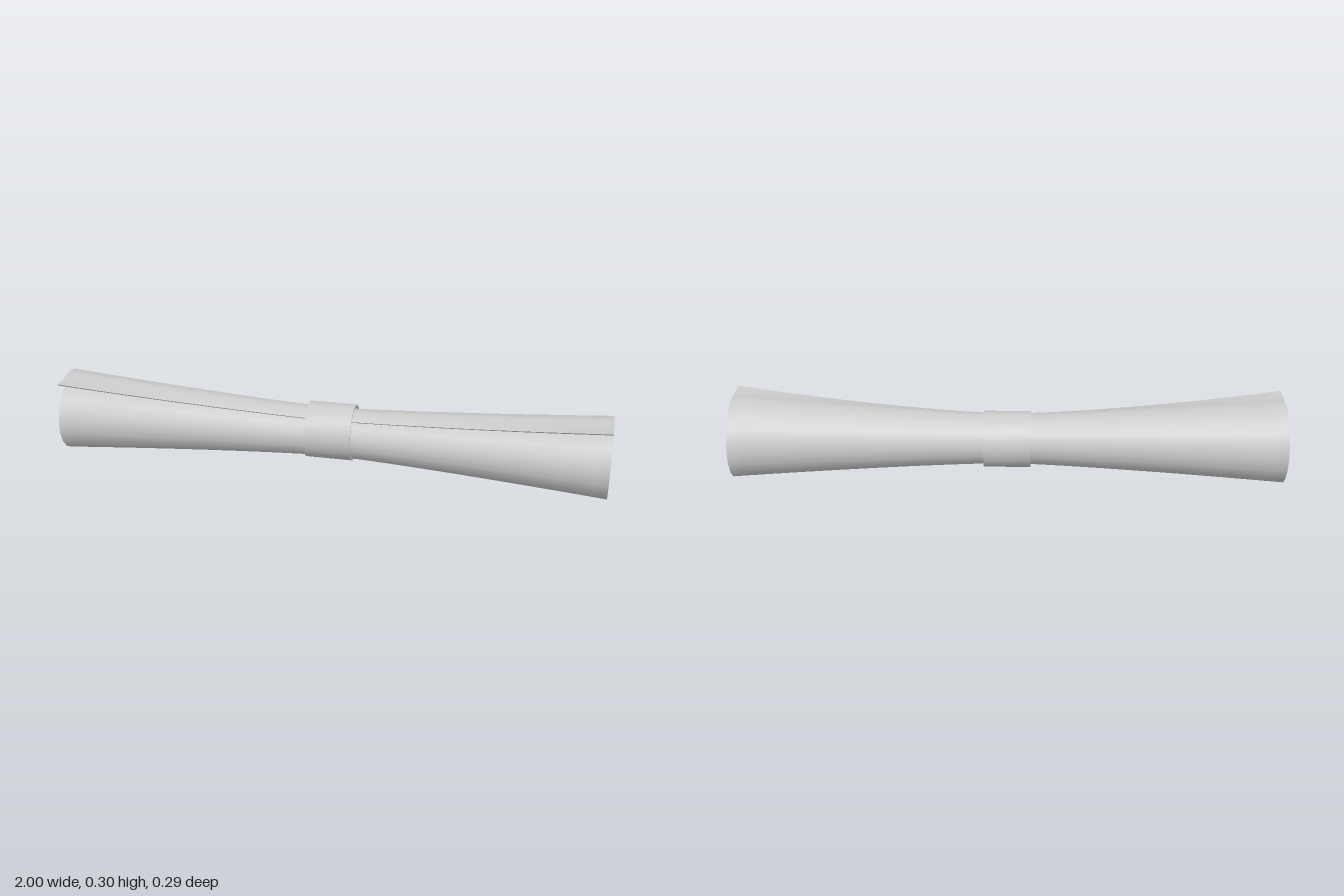
import * as THREE from 'three';
import { toCreasedNormals } from 'three/addons/utils/BufferGeometryUtils.js';

const AXIS_Y = 0.15;          // height of the roll axis
const THICK = 0.007;          // sheet thickness at the ends
const TIP = 54, CORE = 1600;  // spiral angles of the free edge and the core, degrees

// Outer radius of the spiral; the free edge curls outward by the flare amount
function spiralRadius(a, flare) {
  const r = Math.min(0.157, 0.152 - 0.036 * (a - 180) / 360);
  const lift = a < 80 ? 0.035 * ((80 - a) / 26) ** 2 : 0;
  return r + lift * flare;
}

// Angles get coarser toward the core
function spiralAngles() {
  const angles = [];
  for (let a = TIP; a < CORE;) {
    angles.push(a);
    a += a < 90 ? 9 : Math.min(34, 18 * Math.sqrt(0.152 / spiralRadius(a, 0)));
  }
  angles.push(CORE);
  return angles;
}

// Spiral sheet swept along x and pinched at the middle
function rolledSheet() {
  const angles = spiralAngles(), n = angles.length, loop = 2 * n, steps = 40;
  const pos = [], idx = [];
  const quad = (a, b, c, d) => idx.push(a, b, c, a, c, d);

  for (let i = 0; i <= steps; i++) {
    const x = -1 + 2 * i / steps;
    const f = Math.abs(x) ** 1.3, s = 0.6 + 0.4 * f;
    const add = (a, inset) => {
      const t = THREE.MathUtils.degToRad(a), r = spiralRadius(a, f) - inset;
      pos.push(x, AXIS_Y + s * (r * Math.sin(t) - 0.008), s * (0.008 + r * Math.cos(t)));
    };
    for (let j = 0; j < n; j++) add(angles[j], 0);
    for (let j = n - 1; j >= 0; j--) add(angles[j], THICK);
  }
  // Both faces and the two long edges
  for (let i = 0; i < steps; i++) {
    for (let j = 0; j < loop; j++) {
      const k = (j + 1) % loop, p = i * loop, q = p + loop;
      quad(p + j, q + j, q + k, p + k);
    }
  }
  // End strips
  const e = steps * loop;
  for (let j = 0; j < n - 1; j++) {
    const inner = loop - 1 - j;
    quad(j, j + 1, inner - 1, inner);
    quad(e + inner, e + inner - 1, e + j + 1, e + j);
  }
  const geo = new THREE.BufferGeometry();
  geo.setAttribute('position', new THREE.Float32BufferAttribute(pos, 3));
  geo.setIndex(idx);
  return toCreasedNormals(geo, 0.75);
}

// Hollow band around the middle
function bandGeometry() {
  const ro = 0.102, ri = 0.095, h = 0.085;
  const profile = [[ri, -h], [ro, -h], [ro, h], [ri, h], [ri, -h]].map(([r, y]) => new THREE.Vector2(r, y));
  const geo = new THREE.LatheGeometry(profile, 40);
  geo.rotateZ(Math.PI / 2);
  return toCreasedNormals(geo, 0.6);
}

export function createModel() {
  const group = new THREE.Group();
  group.name = 'rolledScroll';
  const mat = new THREE.MeshStandardMaterial({ color: 0xcccccc, side: THREE.DoubleSide });

  const sheet = new THREE.Mesh(rolledSheet(), mat);
  sheet.name = 'rolledSheet';

  const band = new THREE.Mesh(bandGeometry(), mat);
  band.name = 'band';
  band.position.set(0, AXIS_Y + 0.001, -0.003);

  group.add(sheet, band);
  return group;
}
